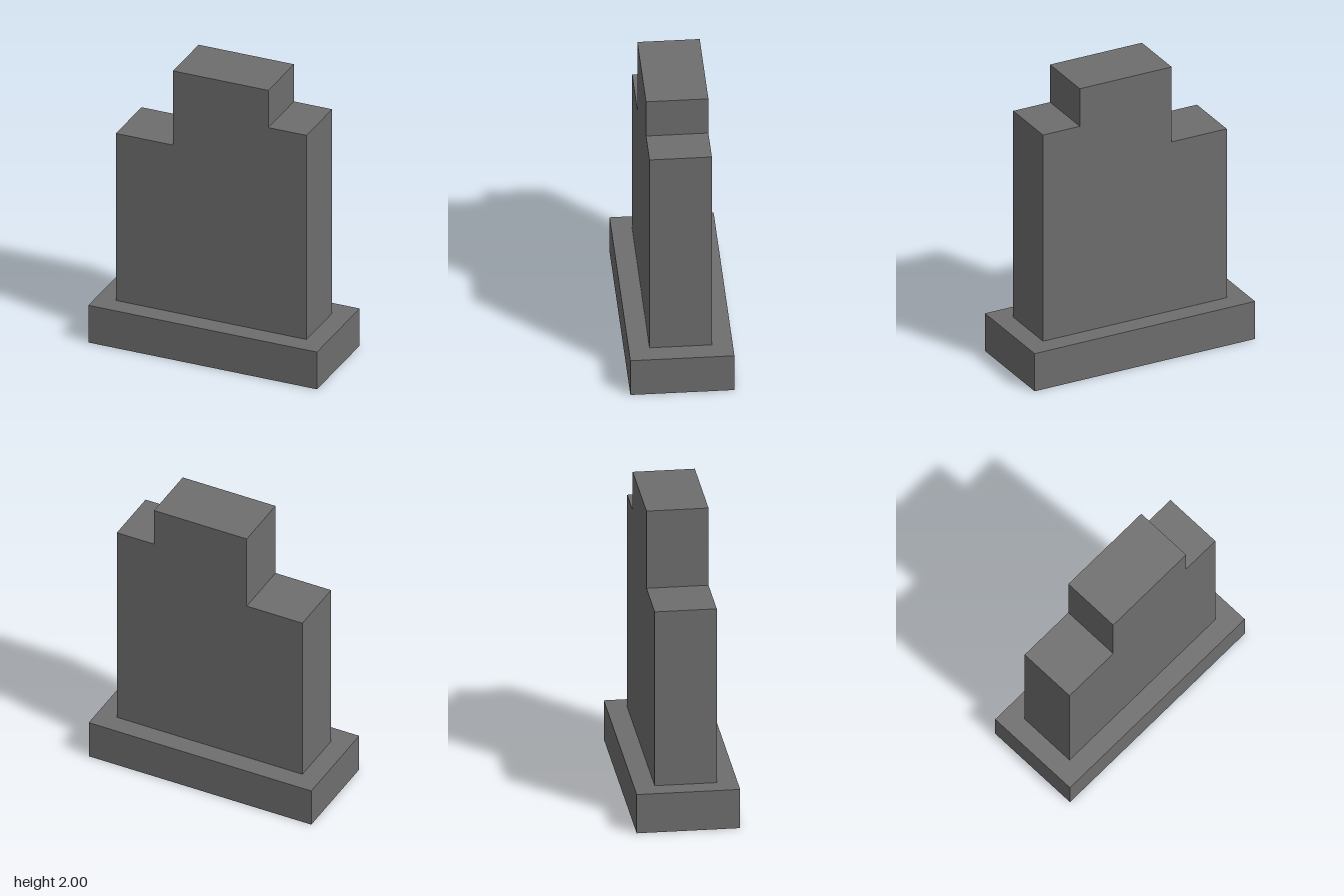
import * as THREE from 'three';

export function createModel() {
  const model = new THREE.Group();
  model.name = 'steppedStoneMarker';
  const stone = new THREE.MeshStandardMaterial({ color: 0x6e6e6e });
  stone.name = 'grey stone';

  // Plinth
  const baseHeight = 0.267;
  const plinth = new THREE.Mesh(new THREE.BoxGeometry(1.6, baseHeight, 0.667), stone);
  plinth.name = 'plinth';
  plinth.position.y = baseHeight / 2;
  model.add(plinth);

  // Upright slab with an uneven stepped top
  const depth = 0.4;
  const outline = [
    [-0.667, baseHeight], [0.667, baseHeight], [0.667, 1.733], [0.4, 1.733],
    [0.4, 2], [-0.267, 2], [-0.267, 1.467], [-0.667, 1.467],
  ].map(([x, y]) => new THREE.Vector2(x, y));
  const slabGeometry = new THREE.ExtrudeGeometry(new THREE.Shape(outline), { depth, bevelEnabled: false });
  slabGeometry.translate(0, 0, -depth / 2);
  const slab = new THREE.Mesh(slabGeometry, stone);
  slab.name = 'steppedSlab';
  model.add(slab);

  return model;
}
